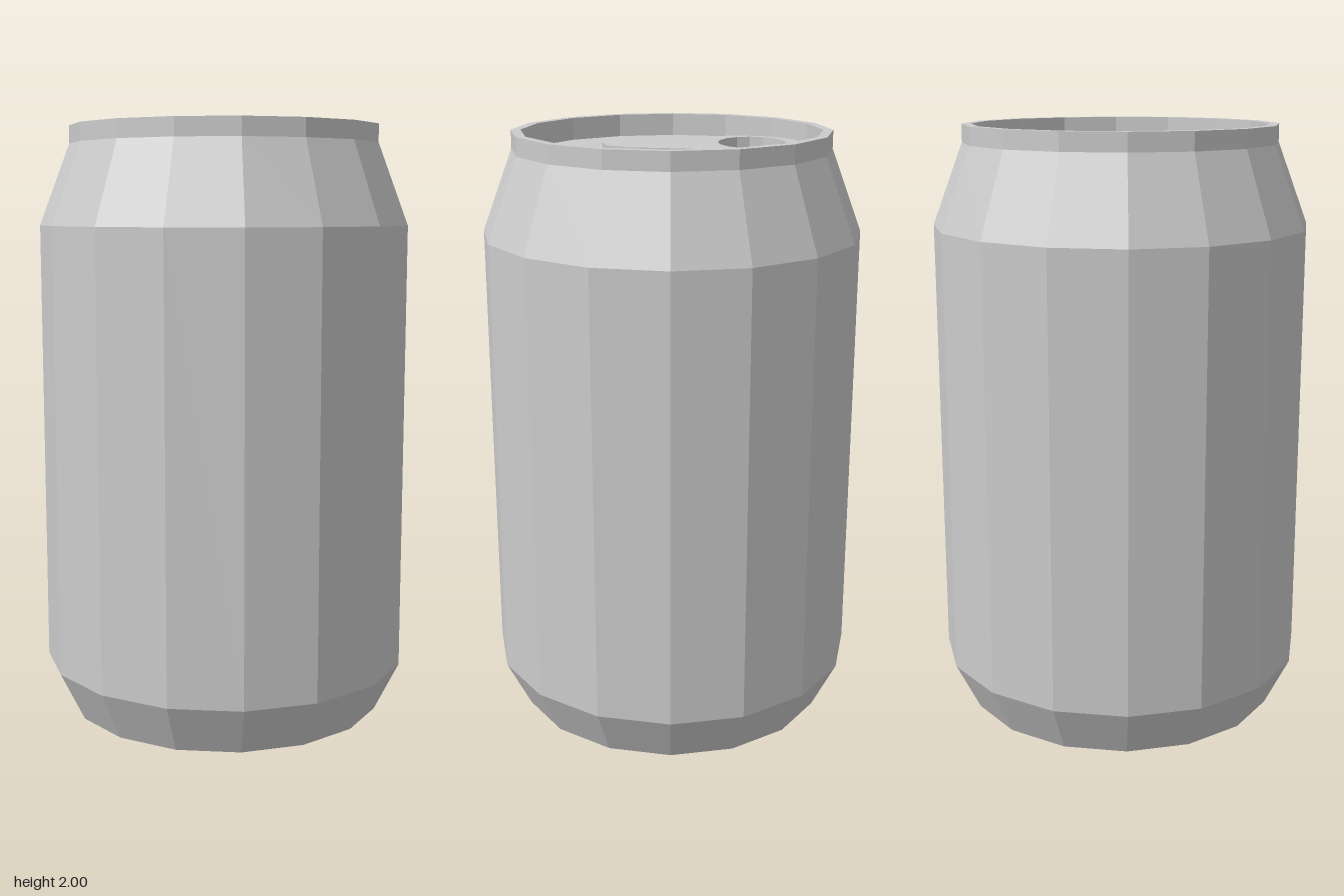
import * as THREE from 'three';

const SIDES = 16;
const LID_Y = 1.925;
const MOUTH_Z = 0.245, MOUTH_R = 0.215;

const material = new THREE.MeshStandardMaterial({ color: 0xcccccc, flatShading: true });

function part(name, geometry) {
  const mesh = new THREE.Mesh(geometry, material);
  mesh.name = name;
  return mesh;
}

// Turned part from [radius, height] pairs
const turned = (points) =>
  new THREE.LatheGeometry(points.map(([r, y]) => new THREE.Vector2(r, y)), SIDES);

// Points of a regular polygon or ellipse, in (x, -z)
function ring(rx, rz, z, sides = SIDES) {
  return Array.from({ length: sides }, (_, i) => {
    const a = (i / sides) * Math.PI * 2;
    return new THREE.Vector2(rx * Math.sin(a), -z - rz * Math.cos(a));
  });
}

export function createModel() {
  const can = new THREE.Group();
  can.name = 'drinkCan';

  // Base, wall, shoulder and rim down to the lid
  can.add(part('body', turned([
    [0, 0], [0.543, 0], [0.627, 0.17], [0.627, 1.67],
    [0.525, 1.94], [0.525, 2], [0.493, 2], [0.493, LID_Y],
  ])));

  // Flat lid with the mouth cut out
  const lidShape = new THREE.Shape(ring(0.493, 0.493, 0));
  lidShape.holes.push(new THREE.Path(ring(MOUTH_R, MOUTH_R, MOUTH_Z)));
  const lid = part('lid', new THREE.ShapeGeometry(lidShape).rotateX(-Math.PI / 2));
  lid.position.y = LID_Y;
  can.add(lid);

  // Shallow pressed panel of the mouth
  const mouth = part('mouthPanel', turned([[MOUTH_R, 0], [0.203, -0.015], [0, -0.015]]));
  mouth.position.set(0, LID_Y, MOUTH_Z);
  can.add(mouth);

  // Pull tab: one half of the outline as [x, z], mirrored, with a finger hole
  const half = [
    [0, -0.425], [0.08, -0.405], [0.155, -0.335], [0.18, -0.245],
    [0.168, -0.094], [0.132, 0.124], [0.08, 0.208], [0, 0.23],
  ];
  const mirrored = half.slice(1, -1).reverse().map(([x, z]) => [-x, z]);
  const tabShape = new THREE.Shape([...half, ...mirrored].map(([x, z]) => new THREE.Vector2(x, -z)));
  tabShape.holes.push(new THREE.Path(ring(0.15, 0.111, -0.261)));
  const tab = part('pullTab', new THREE.ExtrudeGeometry(tabShape, { depth: 0.035, bevelEnabled: false })
    .rotateX(-Math.PI / 2));
  tab.position.y = LID_Y;
  can.add(tab);

  return can;
}
